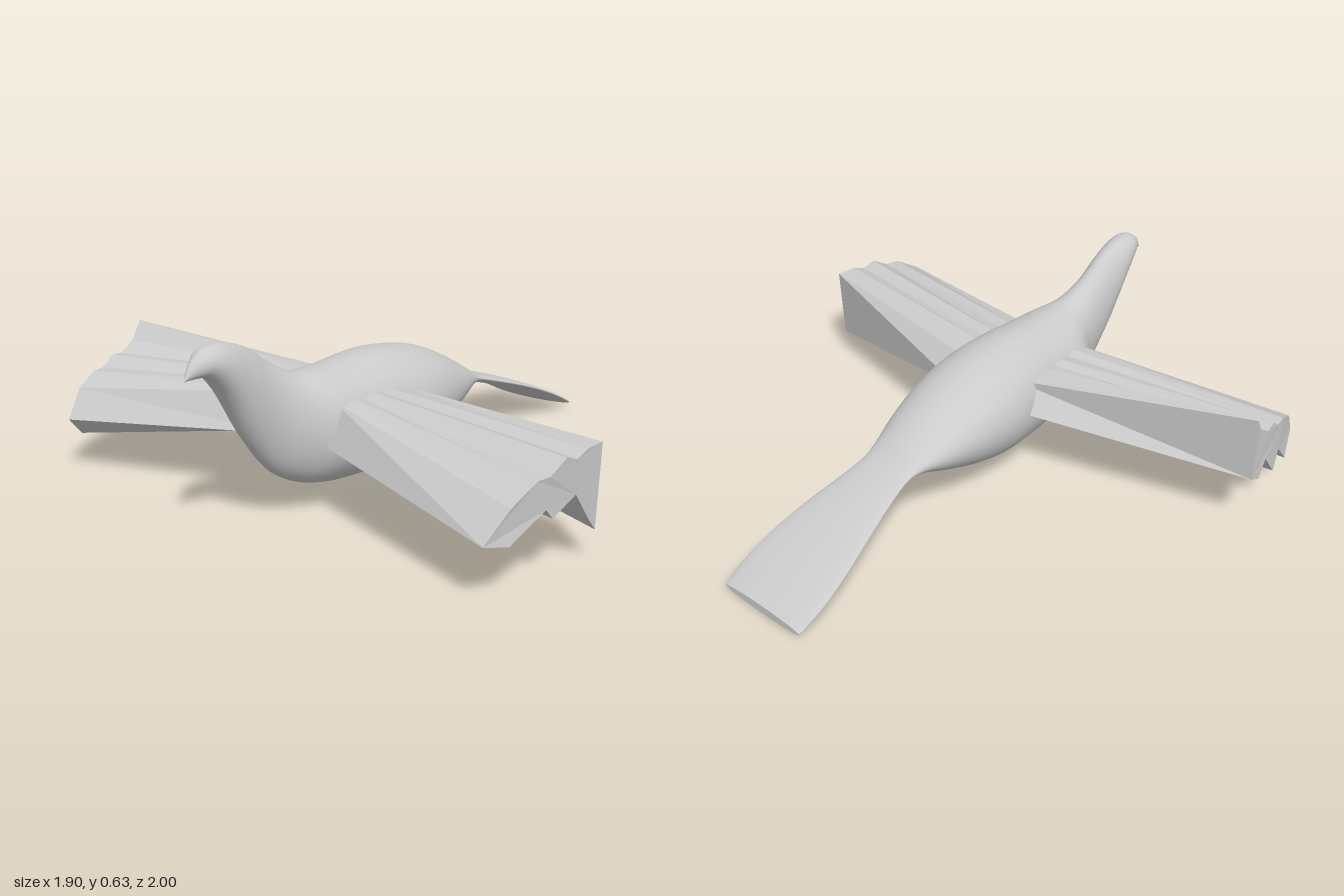
import * as THREE from 'three';

// Skin between rings of [x, y, z]; the last ring is closed with a flat cap.
// u and v are the axes the cap is triangulated in.
function loft(rings, u, v) {
  const n = rings[0].length, pos = rings.flat(2), index = [];
  for (let i = 0; i < rings.length - 1; i++) {
    for (let j = 0; j < n; j++) {
      const k = (j + 1) % n;
      const a = i * n + j, d = i * n + k, b = a + n, c = d + n;
      index.push(a, b, d, d, b, c);
    }
  }
  const last = rings[rings.length - 1], base = pos.length / 3;
  pos.push(...last.flat());
  const outline = last.map(p => new THREE.Vector2(p[u], p[v]));
  for (const f of THREE.ShapeUtils.triangulateShape(outline, [])) {
    const [a, b, c] = [...f].sort((p, q) => p - q);
    index.push(base + c, base + b, base + a);
  }
  const g = new THREE.BufferGeometry();
  g.setAttribute('position', new THREE.Float32BufferAttribute(pos, 3));
  g.setIndex(index);
  g.computeVertexNormals();
  return g;
}

// Body stations: z, left edge, right edge, underside, top
const STATIONS = [
  [1.0, -0.008, -0.014, 0.547, 0.556],
  [0.97, 0.008, -0.03, 0.548, 0.6],
  [0.92, 0.035, -0.06, 0.54, 0.632],
  [0.85, 0.046, -0.08, 0.465, 0.634],
  [0.76, 0.05, -0.087, 0.31, 0.605],
  [0.66, 0.062, -0.092, 0.18, 0.538],
  [0.57, 0.1, -0.115, 0.12, 0.488],
  [0.48, 0.155, -0.165, 0.09, 0.473],
  [0.36, 0.172, -0.18, 0.072, 0.472],
  [0.2, 0.185, -0.197, 0.064, 0.477],
  [0.05, 0.19, -0.212, 0.073, 0.463],
  [-0.1, 0.168, -0.205, 0.108, 0.43],
  [-0.25, 0.128, -0.178, 0.165, 0.365],
  [-0.36, 0.088, -0.143, 0.212, 0.302],
  [-0.42, 0.076, -0.13, 0.222, 0.262],
  [-0.52, 0.086, -0.147, 0.192, 0.232],
  [-0.66, 0.112, -0.182, 0.148, 0.185],
  [-0.8, 0.134, -0.214, 0.095, 0.13],
  [-0.9, 0.14, -0.225, 0.05, 0.085],
  [-1.0, 0.13, -0.22, 0.004, 0.034],
];

// Head, trunk and fan tail as one smooth skin of elliptical sections
function bodyGeometry() {
  const edge = (x, y) => new THREE.CatmullRomCurve3(
    STATIONS.map(s => new THREE.Vector3(s[x], s[y], s[0])));
  const lower = edge(1, 3), upper = edge(2, 4);
  const steps = 76, sides = 40, rings = [];
  for (let i = 0; i <= steps; i++) {
    const a = lower.getPoint(i / steps), b = upper.getPoint(i / steps);
    const rx = (a.x - b.x) / 2, ry = (b.y - a.y) / 2;
    const ring = [];
    for (let j = 0; j < sides; j++) {
      const t = j / sides * Math.PI * 2;
      ring.push([(a.x + b.x) / 2 + rx * Math.cos(t),
        (a.y + b.y) / 2 + ry * Math.sin(t), (a.z + b.z) / 2]);
    }
    rings.push(ring);
  }
  return loft(rings, 0, 1);
}

// Wing root outline [x, y, z]: leading panel, top to the back, underside to the front
const ROOT = [
  [0.1, 0.25, 0.53], [0.1, 0.375, 0.465], [0.1, 0.385, 0.41], [0.1, 0.375, 0.37],
  [0.1, 0.385, 0.32], [0.1, 0.375, 0.28], [0.1, 0.38, 0.24], [0.1, 0.36, 0.14],
  [0.1, 0.28, 0.07], [0.1, 0.25, 0.2], [0.1, 0.265, 0.27], [0.1, 0.25, 0.34],
  [0.1, 0.265, 0.4], [0.1, 0.245, 0.47],
];

// Pleated wing tips, same order as the root
const LEFT_TIP = [
  [0.86, 0.19, 0.775], [0.89, 0.28, 0.685], [0.915, 0.335, 0.59], [0.925, 0.335, 0.54],
  [0.935, 0.373, 0.47], [0.94, 0.355, 0.42], [0.945, 0.373, 0.37], [0.95, 0.373, 0.29],
  [0.945, 0.105, 0.305], [0.94, 0.155, 0.345], [0.935, 0.245, 0.41], [0.925, 0.205, 0.52],
  [0.92, 0.24, 0.55], [0.89, 0.17, 0.69],
];
const RIGHT_TIP = [
  [0.875, 0.2, 0.745], [0.895, 0.295, 0.675], [0.915, 0.335, 0.59], [0.925, 0.335, 0.54],
  [0.93, 0.37, 0.49], [0.94, 0.365, 0.44], [0.945, 0.4, 0.38], [0.955, 0.465, 0.33],
  [0.955, 0.23, 0.34], [0.95, 0.2, 0.4], [0.94, 0.25, 0.45], [0.93, 0.15, 0.54],
  [0.92, 0.215, 0.58], [0.905, 0.125, 0.67],
];

function wingGeometry(tip, side) {
  const place = ring => {
    const r = ring.map(([x, y, z]) => [x * side, y, z]);
    return side < 0 ? r.reverse() : r;
  };
  return loft([place(ROOT), place(tip)], 2, 1);
}

export function createModel() {
  const group = new THREE.Group();
  group.name = 'bird';
  const smooth = new THREE.MeshStandardMaterial({ color: 0xcccccc });
  const faceted = new THREE.MeshStandardMaterial({
    color: 0xcccccc, flatShading: true, side: THREE.DoubleSide,
  });
  const add = (name, geometry, material) => {
    const mesh = new THREE.Mesh(geometry, material);
    mesh.name = name;
    group.add(mesh);
  };
  add('body', bodyGeometry(), smooth);
  add('leftWing', wingGeometry(LEFT_TIP, 1), faceted);
  add('rightWing', wingGeometry(RIGHT_TIP, -1), faceted);
  return group;
}
